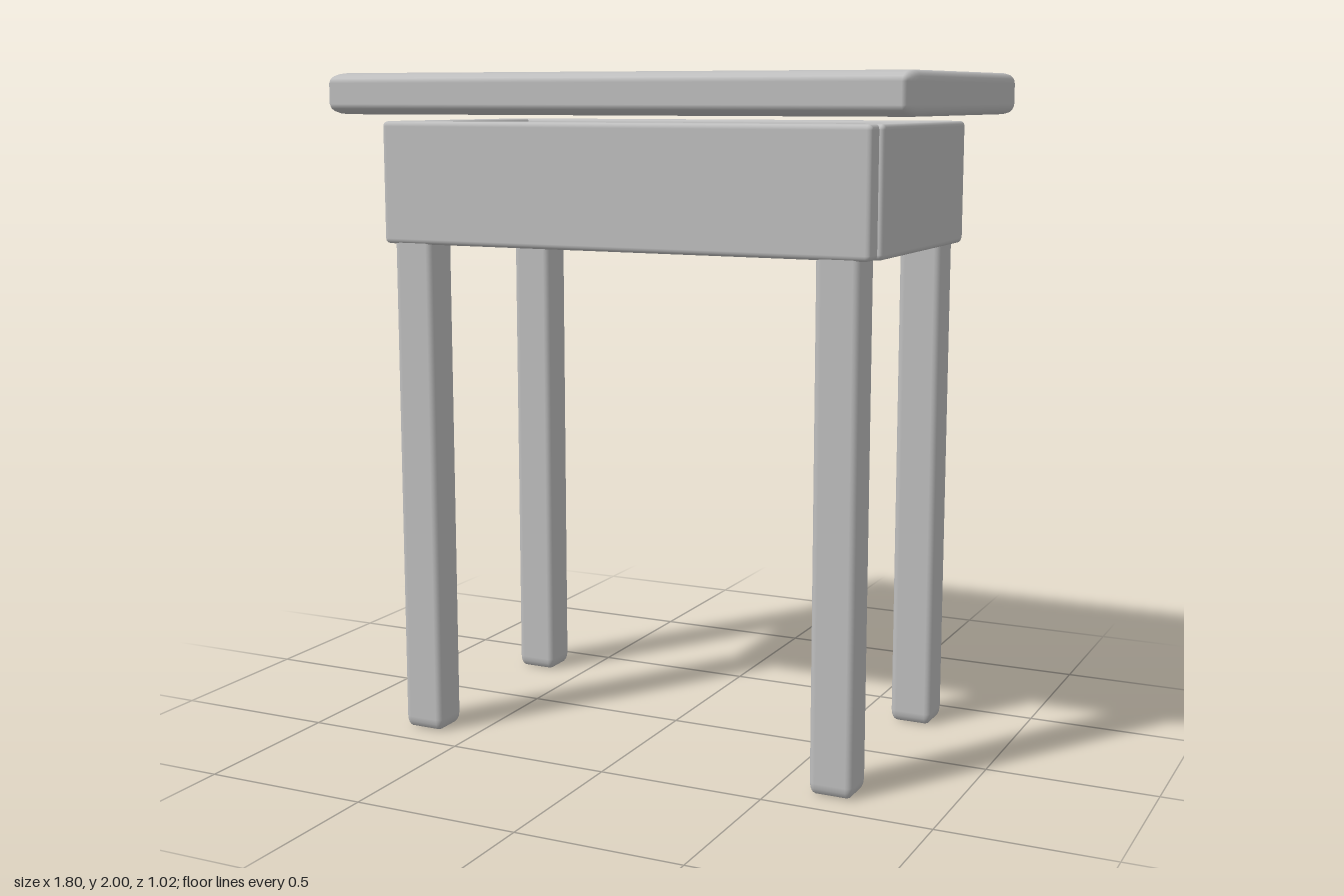
import * as THREE from 'three';
import { RoundedBoxGeometry } from 'three/addons/geometries/RoundedBoxGeometry.js';

// Box between two corners, with its own bevel width along each axis
function bevelBox(min, max, bevel) {
  const geo = new RoundedBoxGeometry(2, 2, 2, 2, 0.5);
  const pos = geo.attributes.position;
  const nor = geo.attributes.normal;
  const n = new THREE.Vector3();
  for (let i = 0; i < pos.count; i++) {
    for (let a = 0; a < 3; a++) {
      const v = pos.getComponent(i, a);
      const u = (Math.abs(v) - 0.5) / 0.5;
      const half = (max[a] - min[a]) / 2;
      const mid = (max[a] + min[a]) / 2;
      pos.setComponent(i, a, mid + Math.sign(v) * (half - bevel[a] * (1 - u)));
      n.setComponent(a, nor.getComponent(i, a) / bevel[a]);
    }
    n.normalize();
    nor.setXYZ(i, n.x, n.y, n.z);
  }
  return geo;
}

export function createModel() {
  const group = new THREE.Group();
  const grey = new THREE.MeshStandardMaterial({ color: 0xbfbfbf });
  grey.name = 'grey';

  const add = (name, min, max, bevel) => {
    const mesh = new THREE.Mesh(bevelBox(min, max, bevel), grey);
    mesh.name = name;
    group.add(mesh);
  };

  // Table top, rounded more deeply along the long edges
  add('tableTop', [-0.9, 1.88, -0.51], [0.9, 2, 0.51], [0.025, 0.03, 0.085]);

  // Long apron boards, front and back
  for (const [name, z] of [['frontApron', 0.3725], ['backApron', -0.3725]]) {
    add(name, [-0.765, 1.5, z - 0.0425], [0.765, 1.86, z + 0.0425], [0.015, 0.015, 0.012]);
  }

  // Short apron boards, standing slightly proud of the long ones
  for (const [name, x] of [['leftApron', 0.7375], ['rightApron', -0.7375]]) {
    add(name, [x - 0.0425, 1.5, -0.36], [x + 0.0425, 1.86, 0.36], [0.012, 0.015, 0.015]);
  }

  // Square legs, reaching up inside the apron
  for (const [side, x] of [['Left', 0.67], ['Right', -0.67]]) {
    for (const [end, z] of [['front', 0.35], ['back', -0.35]]) {
      add(end + side + 'Leg', [x - 0.065, 0, z - 0.06], [x + 0.065, 1.73, z + 0.06], [0.02, 0.035, 0.02]);
    }
  }
  return group;
}
